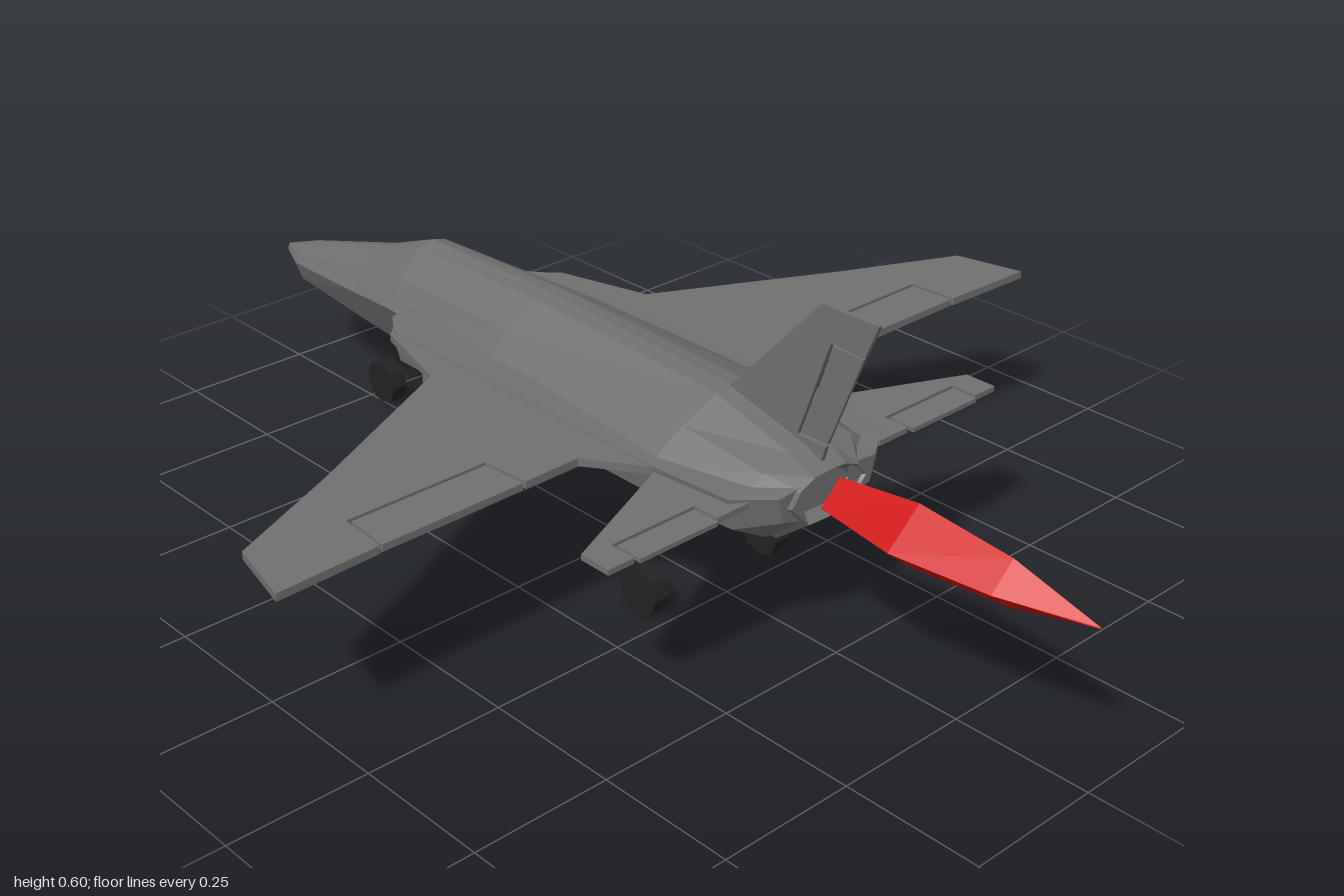
import * as THREE from 'three';

const mat = (color) => new THREE.MeshStandardMaterial({ color, flatShading: true });

// Stations are [x, z, y, z, y, ...]; rings run top -> +z -> bottom.
function loft(stations, { symmetric = false, side = 1 } = {}) {
  const rings = stations.map(([x, ...v]) => {
    let ring = [];
    for (let i = 0; i < v.length; i += 2) ring.push([x, v[i + 1], v[i] * side]);
    if (symmetric) ring = ring.concat(ring.slice(1, -1).reverse().map(([a, b, c]) => [a, b, -c]));
    return side < 0 ? ring.reverse() : ring;
  });
  const pos = [], n = rings[0].length;
  const tri = (a, b, c) => pos.push(...a, ...b, ...c);
  for (let i = 0; i < rings.length - 1; i++) {
    for (let j = 0; j < n; j++) {
      const k = (j + 1) % n, A = rings[i], B = rings[i + 1];
      tri(A[j], A[k], B[j]);
      tri(A[k], B[k], B[j]);
    }
  }
  const mid = (r) => [0, 1, 2].map((c) => r.reduce((s, p) => s + p[c], 0) / n);
  const first = rings[0], last = rings[rings.length - 1];
  for (let j = 0; j < n; j++) {
    const k = (j + 1) % n;
    tri(mid(first), first[k], first[j]);
    tri(mid(last), last[j], last[k]);
  }
  const g = new THREE.BufferGeometry();
  g.setAttribute('position', new THREE.Float32BufferAttribute(pos, 3));
  g.computeVertexNormals();
  return g;
}

const extrude = (pts, depth) => new THREE.ExtrudeGeometry(
  new THREE.Shape(pts.map((p) => new THREE.Vector2(...p))), { depth, bevelEnabled: false });

// Horizontal panel from an (x, z) outline
const panel = (pts, side, top, depth) =>
  extrude(pts.map(([x, z]) => [x, z * side]), depth).rotateX(Math.PI / 2).translate(0, top, 0);

export function createModel() {
  const model = new THREE.Group();
  const grey = mat(0x707070), black = mat(0x222222), red = mat(0xd01010);
  const add = (name, geometry, material = grey) => {
    const m = new THREE.Mesh(geometry, material);
    m.name = name;
    model.add(m);
    return m;
  };

  // Fuselage: spine, shoulder, chine, lower chine, keel corner, keel
  add('fuselage', loft([
    [-1, 0, 0.25, 0.003, 0.249, 0.006, 0.245, 0.008, 0.24, 0.006, 0.235, 0, 0.232],
    [-0.92, 0, 0.278, 0.014, 0.276, 0.035, 0.262, 0.045, 0.245, 0.03, 0.206, 0, 0.204],
    [-0.67, 0, 0.35, 0.025, 0.345, 0.06, 0.315, 0.086, 0.277, 0.045, 0.196, 0, 0.193],
    [-0.53, 0, 0.403, 0.03, 0.395, 0.078, 0.345, 0.108, 0.296, 0.055, 0.195, 0, 0.191],
    [-0.2, 0, 0.406, 0.032, 0.402, 0.1, 0.365, 0.14, 0.31, 0.065, 0.195, 0, 0.19],
    [0.25, 0, 0.392, 0.035, 0.388, 0.11, 0.355, 0.185, 0.31, 0.065, 0.195, 0, 0.19],
    [0.42, 0, 0.35, 0.04, 0.348, 0.1, 0.335, 0.155, 0.3, 0.065, 0.205, 0, 0.202],
    [0.47, 0, 0.325, 0.035, 0.323, 0.065, 0.31, 0.085, 0.285, 0.045, 0.242, 0, 0.24],
    [0.45, 0, 0.312, 0.028, 0.31, 0.05, 0.3, 0.065, 0.283, 0.035, 0.254, 0, 0.252],
  ], { symmetric: true }));

  for (const side of [1, -1]) {
    const label = side > 0 ? 'left' : 'right';

    // Side intake trunk running back to the tail
    add(label + 'IntakeTrunk', loft([
      [-0.46, 0.08, 0.318, 0.15, 0.318, 0.145, 0.255, 0.085, 0.22],
      [-0.4, 0.08, 0.322, 0.192, 0.32, 0.18, 0.26, 0.09, 0.21],
      [0.27, 0.08, 0.322, 0.192, 0.32, 0.18, 0.26, 0.09, 0.21],
      [0.42, 0.08, 0.32, 0.178, 0.318, 0.165, 0.26, 0.09, 0.217],
      [0.465, 0.05, 0.315, 0.11, 0.31, 0.1, 0.265, 0.05, 0.25],
    ], { side }));

    // Wing with strake, notched for the aileron
    add(label + 'Wing', panel([
      [-0.46, 0.13], [-0.4, 0.2], [-0.22, 0.25], [-0.05, 0.59], [0.05, 0.81], [0.18, 0.84],
      [0.173, 0.652], [0.08, 0.645], [0.08, 0.375], [0.17, 0.368], [0.168, 0.26],
      [0.27, 0.19], [0.27, 0.1], [-0.4, 0.1],
    ], side, 0.319, 0.014));
    add(label + 'Aileron', panel([
      [0.086, 0.381], [0.17, 0.374], [0.172, 0.646], [0.086, 0.639],
    ], side, 0.318, 0.012));

    // Tailplane, notched for the elevator
    add(label + 'Tailplane', panel([
      [0.27, 0.15], [0.27, 0.19], [0.38, 0.44], [0.44, 0.44], [0.44, 0.389],
      [0.39, 0.389], [0.39, 0.218], [0.44, 0.218], [0.44, 0.15],
    ], side, 0.31, 0.01));
    add(label + 'Elevator', panel([
      [0.396, 0.224], [0.447, 0.224], [0.447, 0.383], [0.396, 0.383],
    ], side, 0.309, 0.008));

    // Box pod under the wing root
    add(label + 'UnderwingPod', loft([
      [-0.25, 0.18, 0.308, 0.245, 0.308, 0.245, 0.226, 0.18, 0.24],
      [0.06, 0.18, 0.308, 0.245, 0.308, 0.245, 0.245, 0.18, 0.255],
    ], { side }));
  }

  // Vertical fin, notched for the rudder
  add('tailFin', extrude([
    [0.23, 0.37], [0.25, 0.392], [0.44, 0.6], [0.555, 0.6], [0.531, 0.541], [0.462, 0.541],
    [0.4, 0.362], [0.461, 0.362], [0.45, 0.325], [0.3, 0.325],
  ], 0.008).translate(0, 0, -0.004));
  add('rudder', extrude([
    [0.408, 0.367], [0.463, 0.367], [0.528, 0.536], [0.466, 0.536],
  ], 0.006).translate(0, 0, -0.003));

  // Exhaust flame: a stretched four-sided diamond
  add('exhaustFlame', loft([
    [0.49, 0, 0.32, 0.042, 0.28, 0, 0.242],
    [0.65, 0, 0.34, 0.068, 0.28, 0, 0.224],
    [0.83, 0, 0.324, 0.047, 0.28, 0, 0.24],
    [0.99, 0, 0.281, 0.002, 0.28, 0, 0.279],
  ], { symmetric: true }), red);

  // Wheels
  const wheels = [['noseWheel', -0.695, 0.053, 0], ['leftWheel', 0.2, 0.043, 0.143], ['rightWheel', 0.2, 0.043, -0.143]];
  for (const [name, x, y, z] of wheels) {
    add(name, new THREE.CylinderGeometry(0.043, 0.043, 0.03, 8).rotateX(Math.PI / 2), black).position.set(x, y, z);
  }
  return model;
}
